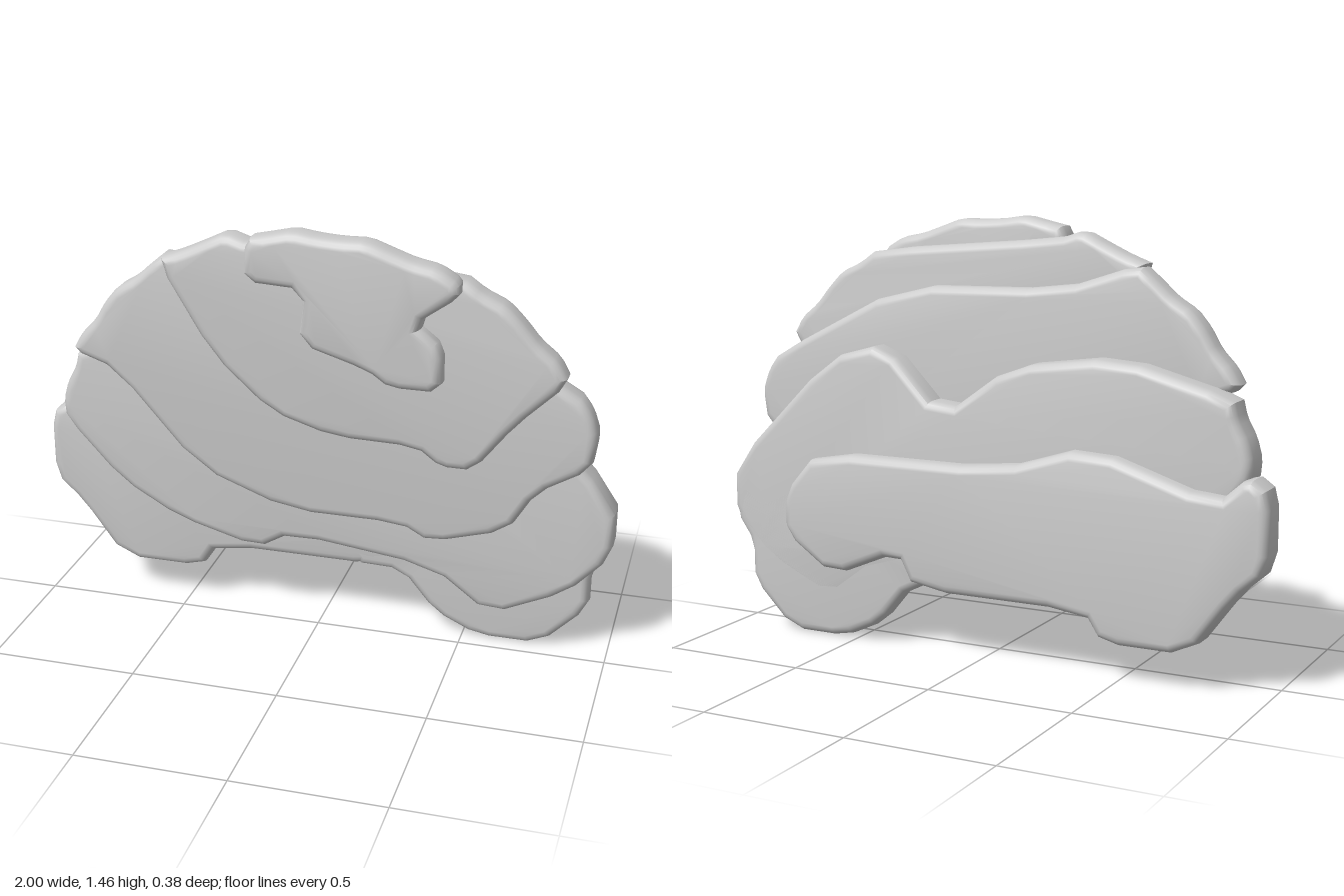
import * as THREE from 'three';
import { toCreasedNormals } from 'three/addons/utils/BufferGeometryUtils.js';

const material = new THREE.MeshStandardMaterial({ color: 0xcccccc });

// Part of the elliptical dome edge with gentle scallops, angles in degrees
function dome(from, to) {
  const steps = Math.max(2, Math.round((to - from) / 5));
  return Array.from({ length: steps + 1 }, (_, i) => {
    const a = THREE.MathUtils.degToRad(from + ((to - from) * i) / steps);
    const r = 1 + 0.01 * Math.sin(a * 24);
    return [0.02 + 0.95 * r * Math.cos(a), 0.6 + 0.86 * r * Math.sin(a)];
  });
}

// Cut every corner once so outlines turn softly
function soften(points) {
  return points.flatMap((p, i) => {
    const a = new THREE.Vector2(...p);
    const b = new THREE.Vector2(...points[(i + 1) % points.length]);
    return [a.clone().lerp(b, 0.2), a.clone().lerp(b, 0.8)];
  });
}

// A rounded slab between two depths
function slab(name, back, front, points) {
  const bevel = 0.035, size = 0.03;
  const geometry = new THREE.ExtrudeGeometry(new THREE.Shape(soften(points)), {
    depth: front - back - 2 * bevel,
    bevelThickness: bevel,
    bevelSize: size,
    bevelOffset: -size,
    bevelSegments: 4,
  });
  geometry.translate(0, 0, back + bevel);
  const mesh = new THREE.Mesh(toCreasedNormals(geometry, 0.6), material);
  mesh.name = name;
  return mesh;
}

export function createModel() {
  const group = new THREE.Group();
  group.name = 'steppedSlice';

  // Overlapping terraces, front to back: lower edge, dome edge, upper back edge
  group.add(
    slab('frontLayer', 0.08, 0.19, [
      [-0.2, 1.29], [0, 1.28], [-0.02, 1.1], [0.21, 1.03], [0.28, 0.98],
      [0.45, 0.98], [0.45, 1.13], [0.36, 1.2], [0.5, 1.3], ...dome(60, 103)]),
    slab('secondLayer', 0.02, 0.13, [
      [-0.33, 1.01], [-0.13, 0.83], [0.08, 0.765], [0.36, 0.76], [0.44, 0.7],
      [0.55, 0.7], [0.68, 0.87], ...dome(30, 60), [-0.2, 1.4], ...dome(108, 124)]),
    slab('thirdLayer', -0.04, 0.07, [
      [-0.7, 0.9], [-0.41, 0.57], [-0.09, 0.45], [0.3, 0.45], [0.4, 0.395],
      [0.66, 0.47], [0.75, 0.62], [0.92, 0.72], ...dome(16, 26),
      [0.36, 1.23], [-0.23, 1.24], ...dome(123, 156)]),
    slab('fourthLayer', -0.13, 0.01, [
      [-0.72, 0.46], [-0.51, 0.34], [-0.22, 0.26], [-0.1, 0.33], [0.4, 0.27],
      [0.6, 0.12], [0.86, 0.24], [1, 0.39], [1, 0.58], [0.6, 0.98], [0.38, 1.04],
      [0.16, 0.81], [-0.09, 0.99], [-0.47, 1.04], ...dome(157, 175)]),
    slab('backLayer', -0.19, -0.05, [
      [-1, 0.42], [-0.9, 0.33], [-0.75, 0.125], [-0.45, 0.125], [-0.39, 0.22],
      [0.24, 0.22], [0.3, 0.34], [0.56, 0.23], [0.75, 0.36], [0.75, 0.51],
      [0.62, 0.66], [-0.08, 0.66], [-0.4, 0.76], [-0.83, 0.62], [-0.93, 0.71], [-1, 0.66]]),
    slab('lowerLobe', -0.13, -0.05, [
      [0.1, 0.22], [0.28, 0.215], [0.4, 0.07], [0.55, 0], [0.77, 0],
      [0.93, 0.16], [0.93, 0.3], [1, 0.4], [0.96, 0.55], [0.1, 0.4]]),
  );
  return group;
}
